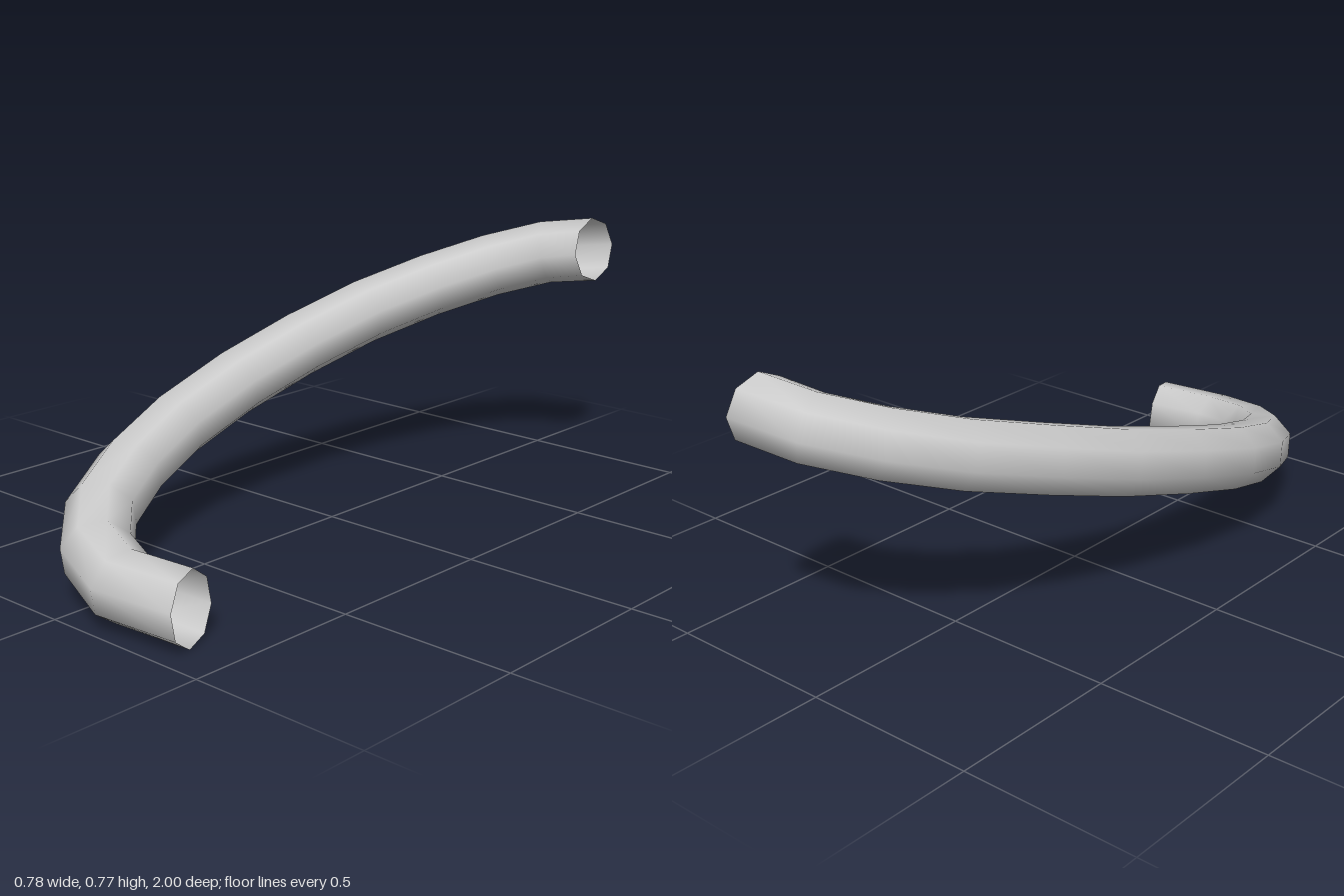
import * as THREE from 'three';

const SIDES = 8;
const RADIUS = 0.096;
const TWIST = THREE.MathUtils.degToRad(29.5);

// Centre line, from the raised rear end round to the low front end
const path = [
  [0.247, 0.68, -0.912], [0.093, 0.657, -0.878], [-0.035, 0.615, -0.765],
  [-0.143, 0.562, -0.60], [-0.225, 0.502, -0.39], [-0.278, 0.432, -0.16],
  [-0.30, 0.36, 0.085], [-0.29, 0.285, 0.33], [-0.24, 0.22, 0.54],
  [-0.153, 0.165, 0.718], [-0.02, 0.123, 0.843], [0.145, 0.098, 0.902],
  [0.362, 0.095, 0.882],
].map((p) => new THREE.Vector3(...p));

// Direction of the path at each ring; the ends carry on the curvature
function pathTangents(points) {
  const chords = points.slice(1).map((p, i) => p.clone().sub(points[i]).normalize());
  const last = chords.length - 1;
  const tangents = points.map((_, i) =>
    chords[Math.max(i - 1, 0)].clone().add(chords[Math.min(i, last)]).normalize());
  const carryOn = (chord, near) => chord.clone().multiplyScalar(2 * chord.dot(near)).sub(near);
  tangents[0] = carryOn(chords[0], tangents[1]);
  tangents[last + 1] = carryOn(chords[last], tangents[last]);
  return tangents;
}

// Open tube of octagonal rings, kept level with the tilted plane of the bend
function bentTube(points) {
  const planeNormal = new THREE.Vector3(0, 1, 0.32).normalize();
  const positions = [];
  const indices = [];
  pathTangents(points).forEach((t, i) => {
    const outward = t.clone().cross(planeNormal).normalize();
    const up = outward.clone().cross(t).normalize();
    for (let j = 0; j < SIDES; j++) {
      const a = TWIST + (j / SIDES) * Math.PI * 2;
      const v = points[i].clone()
        .addScaledVector(outward, RADIUS * Math.cos(a))
        .addScaledVector(up, RADIUS * Math.sin(a));
      positions.push(v.x, v.y, v.z);
      if (i === points.length - 1) continue;
      const p = i * SIDES + j;
      const q = i * SIDES + ((j + 1) % SIDES);
      indices.push(p, p + SIDES, q, q, p + SIDES, q + SIDES);
    }
  });
  const geometry = new THREE.BufferGeometry();
  geometry.setAttribute('position', new THREE.Float32BufferAttribute(positions, 3));
  geometry.setIndex(indices);
  geometry.computeVertexNormals();
  return geometry;
}

export function createModel() {
  const group = new THREE.Group();
  group.name = 'curvedPipe';
  const tube = new THREE.Mesh(
    bentTube(path),
    new THREE.MeshStandardMaterial({ color: 0xcccccc, side: THREE.DoubleSide }),
  );
  tube.name = 'pipe';
  group.add(tube);
  return group;
}
